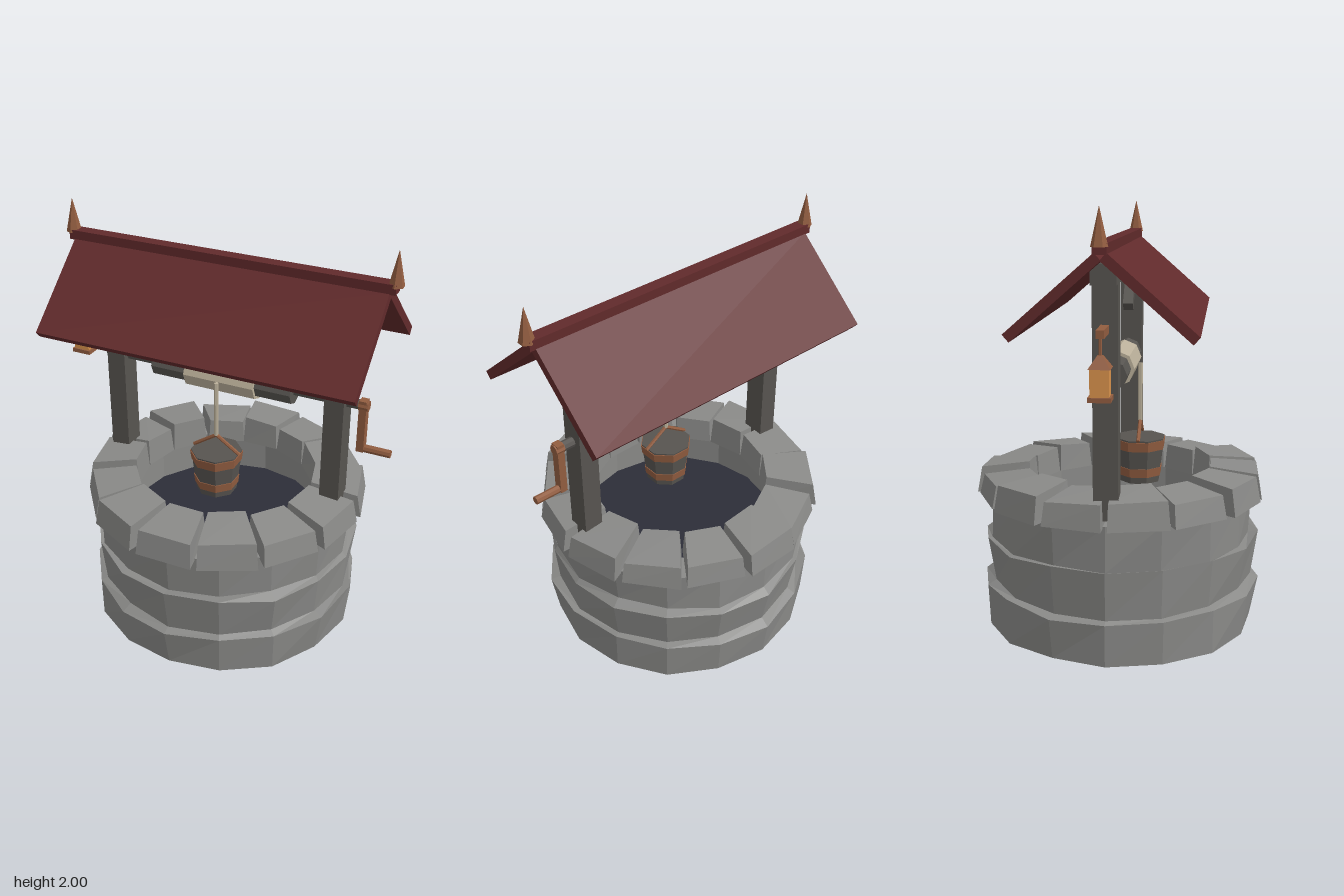
import * as THREE from 'three';

export function createModel() {
  const root = new THREE.Group();
  const material = (name, color, side = THREE.FrontSide) =>
    new THREE.MeshStandardMaterial({ name, color, side, flatShading: true });
  const stone = material('stone', 0x8a8a88, THREE.DoubleSide);
  const darkWood = material('dark wood', 0x575450);
  const roofRed = material('roof red', 0x612a2b);
  const brown = material('warm brown', 0x925d40);
  const ropeTan = material('rope', 0xbbb09a);
  const glow = material('lantern glow', 0xda934c);
  const water = material('dark water', 0x2c2d38, THREE.DoubleSide);

  let seed = 7;
  const jitter = (amount) => {
    seed = (seed * 16807) % 2147483647;
    return (seed / 2147483647 * 2 - 1) * amount;
  };
  const add = (name, geometry, mat, x = 0, y = 0, z = 0) => {
    const mesh = new THREE.Mesh(geometry, mat);
    mesh.name = name;
    mesh.position.set(x, y, z);
    root.add(mesh);
    return mesh;
  };
  const box = (name, mat, w, h, d, x, y, z = 0) =>
    add(name, new THREE.BoxGeometry(w, h, d), mat, x, y, z);
  const cylinder = (name, mat, rTop, rBottom, h, sides, x, y, z = 0, turn = 0) =>
    add(name, new THREE.CylinderGeometry(rTop, rBottom, h, sides).rotateY(turn), mat, x, y, z);
  // Cylinder lying along x from x0 to x1
  const shaft = (name, mat, r, x0, x1, y) =>
    add(name, new THREE.CylinderGeometry(r, r, x1 - x0, 8).rotateZ(Math.PI / 2), mat, (x0 + x1) / 2, y);
  // Thin rod between two points
  const rod = (name, mat, r, a, b) => {
    const dir = b.clone().sub(a);
    const mesh = cylinder(name, mat, r, r, dir.length(), 6, 0, 0);
    mesh.position.copy(a).add(b).multiplyScalar(0.5);
    mesh.quaternion.setFromUnitVectors(new THREE.Vector3(0, 1, 0), dir.normalize());
  };

  // Wall: three flaring, uneven courses, then over the top and down the inner lining
  const sides = 16;
  const rows = [
    // radius, height, radius jitter, height jitter
    [0.652, 0, 0.012, 0], [0.669, 0.205, 0.014, 0.018],
    [0.632, 0.215, 0.01, 0.01], [0.662, 0.42, 0.014, 0.022],
    [0.628, 0.43, 0.01, 0.01], [0.63, 0.64, 0.014, 0],
    [0.5, 0.64, 0, 0], [0.5, 0.43, 0, 0],
  ];
  const points = [], index = [];
  rows.forEach(([r, y, jr, jy], i) => {
    for (let j = 0; j < sides; j++) {
      const a = j / sides * Math.PI * 2, radius = r + jitter(jr);
      points.push(radius * Math.sin(a), y + jitter(jy), radius * Math.cos(a));
      if (i === rows.length - 1) continue;
      const p = i * sides + j, q = i * sides + (j + 1) % sides;
      index.push(p, q, q + sides, p, q + sides, p + sides);
    }
  });
  const wall = new THREE.BufferGeometry();
  wall.setAttribute('position', new THREE.Float32BufferAttribute(points, 3));
  wall.setIndex(index);
  wall.computeVertexNormals();
  add('stoneWall', wall, stone);
  add('water', new THREE.CircleGeometry(0.5, 32).rotateX(-Math.PI / 2), water, 0, 0.44, 0);

  // Rim: fourteen wedge stones with slightly tapered, uneven tops
  const stones = 14;
  for (let i = 0; i < stones; i++) {
    const geometry = new THREE.BoxGeometry(1, 1, 1);
    const pos = geometry.attributes.position;
    const height = 0.118 + jitter(0.018), reach = 0.675 + jitter(0.012), tilt = jitter(0.008);
    for (let k = 0; k < pos.count; k++) {
      const top = pos.getY(k) > 0, outer = pos.getZ(k) > 0, sx = Math.sign(pos.getX(k));
      pos.setXYZ(k,
        sx * ((outer ? 0.138 : 0.094) - (top ? 0.008 : 0)),
        top ? 0.63 + height + (outer ? -0.008 : 0.012) + sx * tilt : 0.63,
        outer ? reach - (top ? 0.022 : 0) : 0.425 + (top ? 0.01 : 0));
    }
    geometry.computeVertexNormals();
    add('rimStone', geometry, stone).rotation.y = i / stones * Math.PI * 2 + jitter(0.015);
  }

  // Posts with diagonal braces below the tie beam
  const cx = -0.005;
  for (const s of [-1, 1]) {
    box('post', darkWood, 0.094, 1.04, 0.11, cx + s * 0.563, 1.18);
    box('brace', darkWood, 0.05, 0.3, 0.05, cx + s * 0.455, 1.585).rotation.z = -s * Math.PI / 4;
  }
  const beamShape = new THREE.Shape([
    [-0.055, 1.68], [0.055, 1.68], [0.055, 1.735], [0.035, 1.768], [-0.035, 1.768], [-0.055, 1.735],
  ].map(([x, y]) => new THREE.Vector2(x, y)));
  add('tieBeam', new THREE.ExtrudeGeometry(beamShape, { depth: 1.34, bevelEnabled: false }).rotateY(Math.PI / 2),
    darkWood, cx - 0.67);

  // Roof slopes, ridge cap and finials
  for (const s of [-1, 1]) {
    box('roofSlope', roofRed, 1.532, 0.042, 0.5, cx, 1.636, s * 0.199).rotation.x = s * 0.72;
    cylinder('finial', brown, 0, 0.036, 0.16, 6, cx + s * 0.785, 1.92);
  }
  box('ridgeCap', roofRed, 1.585, 0.045, 0.06, cx, 1.832);

  // Windlass: axle, drum, wound rope and crank
  shaft('axle', darkWood, 0.024, -0.64, 0.68, 1.253);
  shaft('drum', darkWood, 0.068, -0.365, 0.35, 1.253);
  shaft('ropeCoil', ropeTan, 0.084, -0.185, 0.172, 1.253);
  shaft('crankHub', brown, 0.026, 0.66, 0.705, 1.253);
  box('crankArm', brown, 0.035, 0.26, 0.042, 0.681, 1.15);
  shaft('crankHandle', brown, 0.019, 0.664, 0.822, 1.033);

  // Hanging rope and bucket with hoops and a bail handle
  const bx = -0.006, bz = 0.095, turn = Math.PI / 8;
  cylinder('hangingRope', ropeTan, 0.011, 0.011, 0.28, 6, bx, 1.113, bz);
  cylinder('bucket', darkWood, 0.124, 0.098, 0.215, 8, bx, 0.787, bz, turn);
  cylinder('upperHoop', brown, 0.128, 0.122, 0.046, 8, bx, 0.864, bz, turn);
  cylinder('lowerHoop', brown, 0.111, 0.106, 0.042, 8, bx, 0.732, bz, turn);
  for (const s of [-1, 1]) {
    rod('bucketHandle', brown, 0.009,
      new THREE.Vector3(bx + s * 0.12, 0.895, bz), new THREE.Vector3(bx, 0.975, bz));
  }

  // Lantern hung from a bracket on one post
  const lx = -0.773;
  box('lanternBracket', brown, 0.21, 0.035, 0.035, -0.682, 1.495);
  cylinder('lanternHook', brown, 0.007, 0.007, 0.09, 6, lx, 1.445);
  cylinder('lanternCap', brown, 0.016, 0.066, 0.052, 4, lx, 1.384, 0, Math.PI / 4);
  cylinder('lanternGlass', glow, 0.056, 0.056, 0.12, 4, lx, 1.3, 0, Math.PI / 4);
  box('lanternBase', brown, 0.096, 0.02, 0.096, lx, 1.234);
  return root;
}
